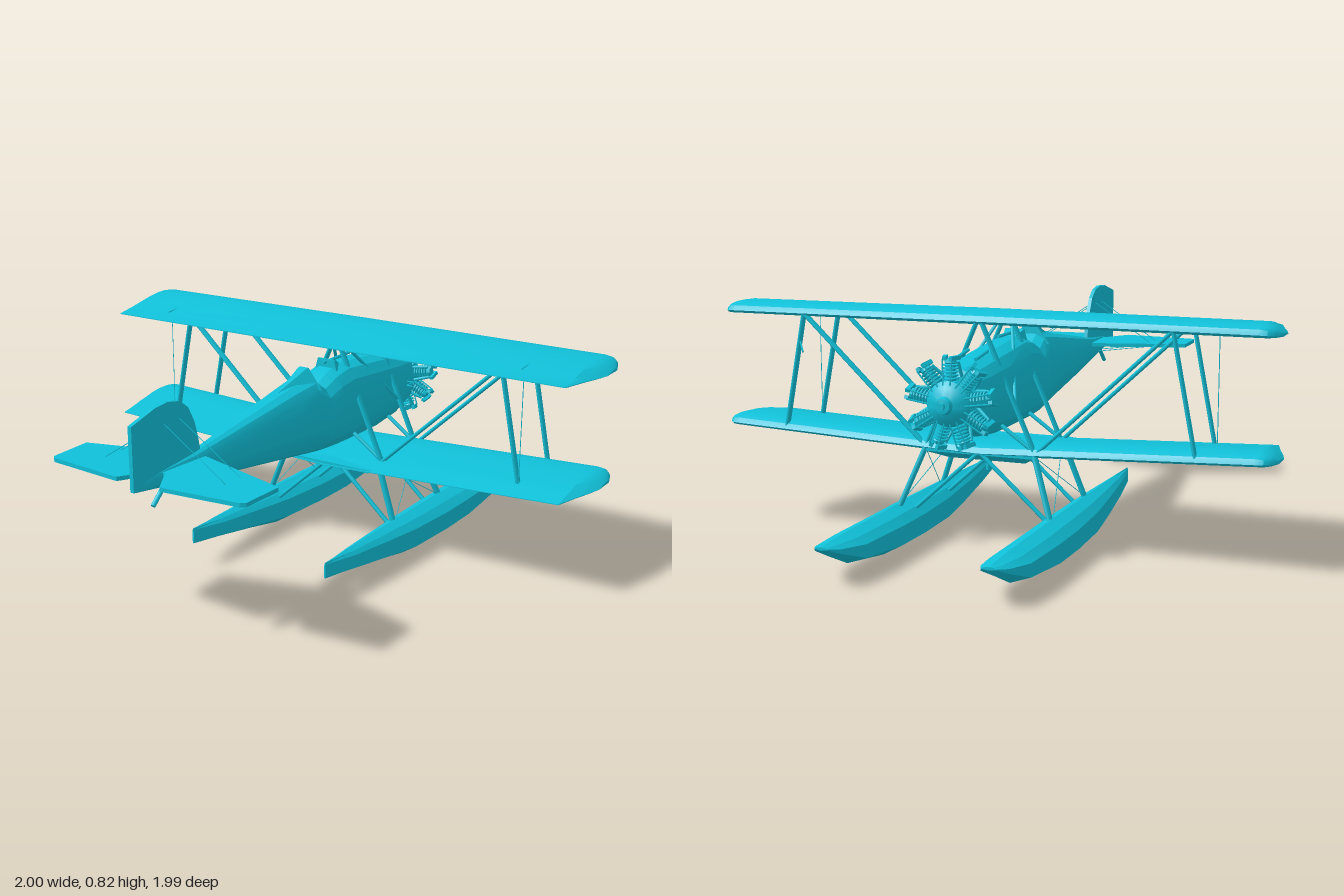
import * as THREE from 'three';
import { toCreasedNormals } from 'three/addons/utils/BufferGeometryUtils.js';

const material = new THREE.MeshStandardMaterial({ color: 0x10c0d8 });
const V = (x, y, z) => new THREE.Vector3(x, y, z);

function add(group, name, geometry) {
  const mesh = new THREE.Mesh(geometry, material);
  mesh.name = name;
  group.add(mesh);
  return mesh;
}

// Closed skin through equal-sized rings of points, with fan caps
function loft(rings, crease) {
  const n = rings[0].length, pos = [], idx = [];
  rings.flat().forEach(p => pos.push(p.x, p.y, p.z));
  for (let r = 0; r < rings.length - 1; r++) {
    for (let i = 0; i < n; i++) {
      const a = r * n + i, b = r * n + (i + 1) % n;
      idx.push(a, b, a + n, b, b + n, a + n);
    }
  }
  [0, rings.length - 1].forEach((r, end) => {
    const c = rings[r].reduce((s, p) => s.add(p), V(0, 0, 0)).divideScalar(n);
    const k = pos.push(c.x, c.y, c.z) / 3 - 1;
    for (let i = 0; i < n; i++) {
      const a = r * n + i, b = r * n + (i + 1) % n;
      if (end) idx.push(a, b, k); else idx.push(b, a, k);
    }
  });
  // Turn the faces outward
  const at = i => V(pos[3 * i], pos[3 * i + 1], pos[3 * i + 2]);
  let volume = 0;
  for (let i = 0; i < idx.length; i += 3) volume += at(idx[i]).dot(at(idx[i + 1]).cross(at(idx[i + 2])));
  if (volume < 0) idx.reverse();
  const g = new THREE.BufferGeometry();
  g.setAttribute('position', new THREE.Float32BufferAttribute(pos, 3));
  g.setIndex(idx);
  return toCreasedNormals(g, crease);
}

// Streamlined bar between two points, its chord lying fore and aft
function strut(group, name, a, b, chord = 0.028, thick = 0.014) {
  const dir = b.clone().sub(a), length = dir.length();
  const g = new THREE.CylinderGeometry(0.5, 0.5, length, chord < 0.01 ? 4 : 8);
  g.scale(thick, 1, chord);
  const y = dir.normalize();
  const x = y.clone().cross(Math.abs(y.z) > 0.95 ? V(1, 0, 0) : V(0, 0, 1)).normalize();
  const m = new THREE.Matrix4().makeBasis(x, y, x.clone().cross(y));
  m.setPosition(a.clone().add(b).multiplyScalar(0.5));
  add(group, name, g.applyMatrix4(m));
}
const wire = (group, name, a, b) => strut(group, name, a, b, 0.003, 0.003);

// Airfoil as [fraction of chord, fraction of thickness]
const airfoil = [[0, 0.25], [0.03, 0.65], [0.09, 0.88], [0.2, 1], [0.38, 0.95], [0.6, 0.7],
  [0.8, 0.35], [1, 0.06], [1, 0], [0.6, 0.02], [0.2, 0], [0.04, 0.03]];

function wing(baseY, dihedral) {
  // [x, leading z, trailing z, thickness]
  const half = [[0, -0.43, -0.06, 0.045], [0.94, -0.43, -0.06, 0.042], [0.965, -0.423, -0.15, 0.036],
    [0.985, -0.4, -0.21, 0.026], [1, -0.355, -0.27, 0.01]];
  const stations = [...half.slice(1).reverse().map(([x, ...r]) => [-x, ...r]), ...half];
  return loft(stations.map(([x, z0, z1, t]) => airfoil.map(([u, v]) =>
    V(x, baseY + dihedral * Math.abs(x) + v * t, z0 + u * (z1 - z0)))), 0.5);
}

function fuselage() {
  // [z, bottom, top, half width]
  const stations = [[-0.61, 0.46, 0.63, 0.065], [-0.595, 0.44, 0.65, 0.085], [-0.5, 0.415, 0.665, 0.098],
    [-0.35, 0.4, 0.685, 0.104], [-0.15, 0.4, 0.705, 0.102], [-0.07, 0.402, 0.69, 0.098], [0, 0.407, 0.66, 0.093],
    [0.06, 0.415, 0.695, 0.088], [0.17, 0.43, 0.68, 0.076], [0.45, 0.468, 0.635, 0.05],
    [0.7, 0.505, 0.595, 0.026], [0.85, 0.528, 0.585, 0.014], [0.985, 0.548, 0.575, 0.005]];
  return loft(stations.map(([z, lo, hi, w]) => Array.from({ length: 16 }, (_, i) => {
    const a = (i + 0.5) / 16 * Math.PI * 2, c = Math.cos(a), s = Math.sin(a);
    const power = v => Math.sign(v) * Math.abs(v) ** 0.8;
    return V(w * power(c), (lo + hi) / 2 + (hi - lo) / 2 * 1.02 * power(s), z);
  })), 0.35);
}

function floatHull() {
  // [z, keel, chine, shoulder, deck, half width]
  const stations = [[0.35, 0.095, 0.1, 0.14, 0.153, 0.003], [0.2, 0.072, 0.085, 0.133, 0.154, 0.026],
    [0, 0.037, 0.062, 0.122, 0.154, 0.047], [-0.18, 0.002, 0.042, 0.112, 0.154, 0.062],
    [-0.4, 0, 0.04, 0.107, 0.153, 0.072], [-0.58, 0.001, 0.041, 0.106, 0.149, 0.073],
    [-0.83, 0.04, 0.065, 0.11, 0.145, 0.07], [-0.95, 0.096, 0.108, 0.123, 0.14, 0.046],
    [-0.992, 0.125, 0.128, 0.131, 0.136, 0.024]];
  return loft(stations.map(([z, keel, chine, side, deck, w]) => [V(0, keel, z), V(w, chine, z), V(w, side, z),
    V(w * 0.6, deck - (deck - side) * 0.4, z), V(0, deck, z), V(-w * 0.6, deck - (deck - side) * 0.4, z),
    V(-w, side, z), V(-w, chine, z)]), 0.2);
}

function plate(points, depth) {
  const g = new THREE.ExtrudeGeometry(new THREE.Shape(points.map(p => new THREE.Vector2(...p))),
    { depth, bevelEnabled: false });
  return g.translate(0, 0, -depth / 2);
}

function radialEngine() {
  const engine = new THREE.Group();
  engine.name = 'engine';
  // Crankcase and shaft, revolved about the thrust line
  const profile = [[0, -0.05], [0.07, -0.05], [0.075, 0.025], [0.055, 0.045], [0.03, 0.055],
    [0.025, 0.07], [0.012, 0.072], [0.012, 0.085], [0, 0.085]].map(p => new THREE.Vector2(...p));
  add(engine, 'crankcase', toCreasedNormals(new THREE.LatheGeometry(profile, 18).rotateX(-Math.PI / 2), 0.5));
  // Finned barrel profile
  const barrel = [[0, 0.05]];
  for (let i = 0; i < 6; i++) {
    const y = 0.065 + i * 0.011;
    barrel.push([0.017, y], [0.025, y + 0.002], [0.025, y + 0.006], [0.017, y + 0.008]);
  }
  barrel.push([0.02, 0.132], [0.016, 0.143], [0, 0.145]);
  const points = barrel.map(p => new THREE.Vector2(...p));
  for (let i = 0; i < 9; i++) {
    const pot = new THREE.Group();
    pot.name = 'cylinder';
    add(pot, 'barrel', toCreasedNormals(new THREE.LatheGeometry(points, 10), 0.5));
    for (const s of [-1, 1]) {
      add(pot, 'rockerBox', new THREE.BoxGeometry(0.012, 0.014, 0.045).rotateY(s * 0.3).translate(s * 0.017, 0.147, -0.006));
      strut(pot, 'pushrod', V(s * 0.012, 0.055, -0.035), V(s * 0.016, 0.145, -0.03), 0.006, 0.006);
      strut(pot, 'pipe', V(s * 0.02, 0.135, 0.01), V(s * 0.026, 0.07, 0.035), 0.012, 0.012);
    }
    pot.rotation.z = i / 9 * Math.PI * 2;
    engine.add(pot);
  }
  engine.position.set(0, 0.548, -0.635);
  return engine;
}

export function createModel() {
  const plane = new THREE.Group();
  plane.name = 'floatBiplane';
  add(plane, 'fuselage', fuselage());
  add(plane, 'upperWing', wing(0.775, 0));
  add(plane, 'lowerWing', wing(0.33, 0.042));
  plane.add(radialEngine());

  // Deepened belly of the lower wing centre
  add(plane, 'wingBelly', loft([[-0.425, 0.335, 0.2], [-0.35, 0.302, 0.14], [-0.15, 0.3, 0.13], [-0.065, 0.333, 0.2]]
    .map(([z, y, w]) => [V(-0.21, 0.345, z), V(-w, y, z), V(w, y, z), V(0.21, 0.345, z)]), 0.2));
  strut(plane, 'bellyStub', V(0, 0.31, -0.34), V(0, 0.268, -0.34), 0.014, 0.014);

  // Headrest behind the cockpit and a small windscreen
  add(plane, 'headrest', loft([[0.05, 0.075, 0.728], [0.06, 0.07, 0.728], [0.21, 0.004, 0.676]].map(([z, w, top]) =>
    [V(-w, 0.655, z), V(-w * 0.25, top, z), V(w * 0.25, top, z), V(w, 0.655, z)]), 0.3));
  add(plane, 'windscreen', loft([[-0.15, 0.03, 0.7], [-0.1, 0.05, 0.725], [-0.092, 0.05, 0.725]].map(([z, w, top]) =>
    [V(-w, 0.67, z), V(-w * 0.7, top, z), V(w * 0.7, top, z), V(w, 0.67, z)]), 0.3));
  strut(plane, 'gunSight', V(0, 0.715, -0.25), V(0, 0.715, -0.07), 0.012, 0.012);

  // Tail surfaces
  add(plane, 'finAndRudder', plate([[0.66, 0.58], [0.675, 0.65], [0.69, 0.7], [0.72, 0.755], [0.76, 0.785],
    [0.82, 0.797], [0.88, 0.793], [0.995, 0.763], [0.995, 0.552], [0.85, 0.54]], 0.014).rotateY(-Math.PI / 2));
  const tailHalf = [[0.02, 0.86], [0.085, 0.968], [0.365, 0.942], [0.38, 0.93], [0.385, 0.77], [0.37, 0.765]];
  add(plane, 'tailplane', plate([[0, 0.655], ...tailHalf.slice().reverse(),
    ...tailHalf.map(([x, z]) => [-x, z])], 0.014).rotateX(Math.PI / 2).translate(0, 0.572, 0));
  strut(plane, 'tailSkid', V(0, 0.54, 0.83), V(0, 0.478, 0.9), 0.016, 0.016);

  for (const s of [1, -1]) {
    // Float and its legs
    add(plane, 'float', floatHull()).position.x = s * 0.282;
    const legs = [[-0.12, -0.14], [-0.47, -0.415]];
    for (const [foot, top] of legs) {
      strut(plane, 'floatLeg', V(s * 0.28, 0.13, foot), V(s * 0.2, 0.345, top), 0.03, 0.018);
      strut(plane, 'floatDiagonal', V(s * 0.25, 0.12, top), V(s * 0.01, 0.335, top), 0.02, 0.014);
    }
    wire(plane, 'floatWire', V(s * 0.28, 0.15, -0.13), V(s * 0.2, 0.34, -0.41));
    wire(plane, 'floatWire', V(s * 0.28, 0.15, -0.45), V(s * 0.2, 0.34, -0.15));

    // Wing struts, front and rear rows
    for (const z of [-0.16, -0.41]) {
      strut(plane, 'outerStrut', V(s * 0.665, 0.785, z), V(s * 0.747, 0.37, z));
      strut(plane, 'innerStrut', V(s * 0.665, 0.785, z), V(s * 0.2, 0.35, z));
      strut(plane, 'cabaneStrut', V(s * 0.008, 0.785, z), V(s * 0.2, 0.35, z));
      strut(plane, 'bellyStrut', V(s * 0.2, 0.355, z), V(s * 0.08, 0.44, z), 0.018);
    }
    strut(plane, 'cabaneDiagonal', V(s * 0.02, 0.775, -0.17), V(s * 0.125, 0.52, -0.4), 0.012, 0.012);
    wire(plane, 'aileronRod', V(s * 0.752, 0.78, -0.15), V(s * 0.752, 0.37, -0.15));
    strut(plane, 'aileronHorn', V(s * 0.752, 0.805, -0.25), V(s * 0.752, 0.793, -0.13), 0.005, 0.005);

    // Tail bracing
    for (const z of [0.765, 0.84]) {
      wire(plane, 'tailWire', V(s * 0.25, 0.572, z), V(0, 0.735, z));
      wire(plane, 'tailWire', V(s * 0.25, 0.565, z), V(0, 0.53, z));
    }
    // Exhaust stubs and nose guns
    strut(plane, 'noseGun', V(s * 0.035, 0.675, -0.52), V(s * 0.035, 0.69, -0.42), 0.012, 0.012);
  }

  // Air-speed probe on the left strut and a starter crank
  strut(plane, 'airProbe', V(0.685, 0.69, -0.41), V(0.65, 0.655, -0.45), 0.008, 0.008);
  const crank = new THREE.CurvePath();
  const bends = [V(0.09, 0.55, -0.53), V(0.12, 0.55, -0.53), V(0.12, 0.55, -0.48), V(0.145, 0.55, -0.48)];
  for (let i = 0; i < 3; i++) crank.add(new THREE.LineCurve3(bends[i], bends[i + 1]));
  add(plane, 'starterCrank', new THREE.TubeGeometry(crank, 24, 0.003, 5));
  return plane;
}
